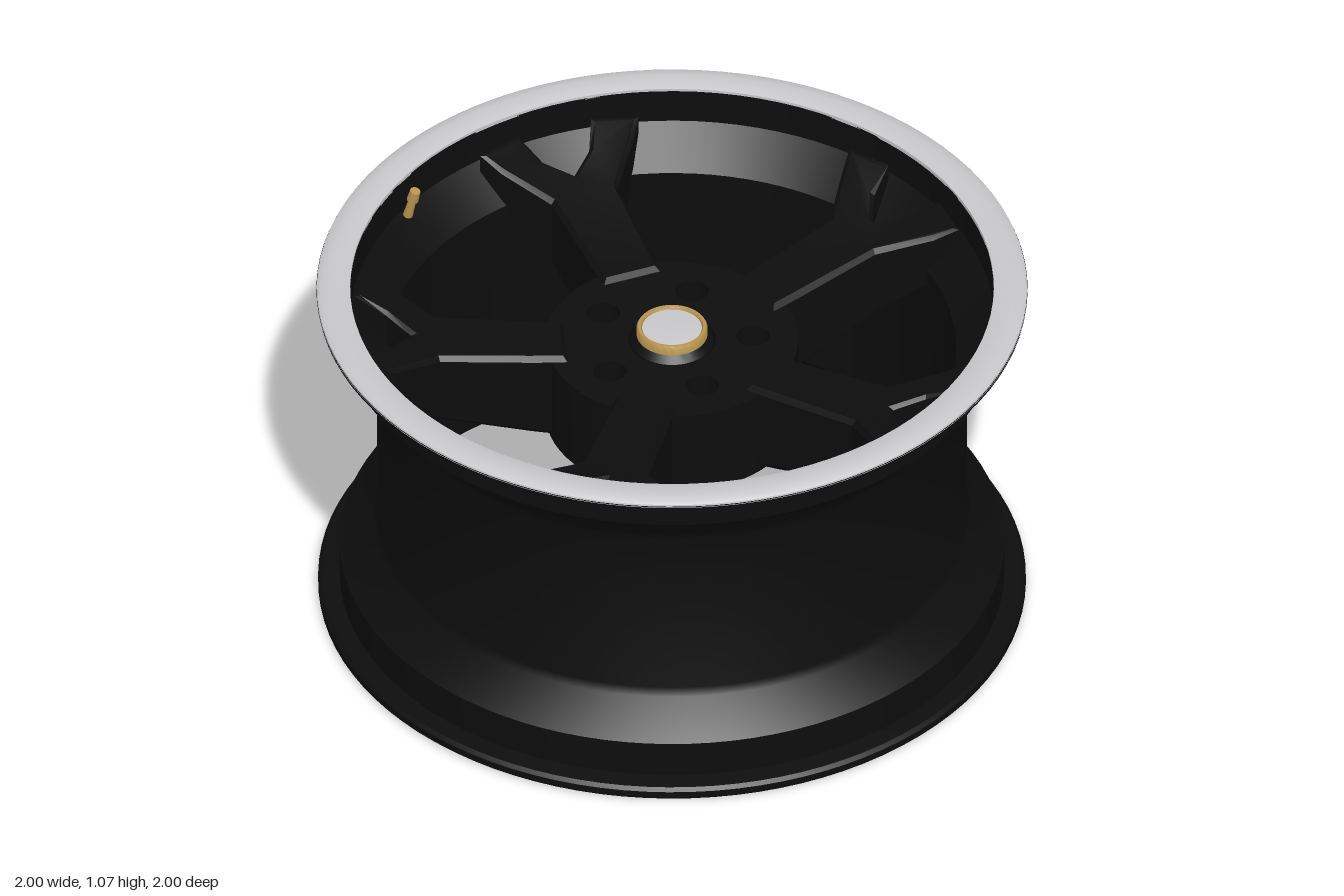
import * as THREE from 'three';
import { toCreasedNormals } from 'three/addons/utils/BufferGeometryUtils.js';

const material = (name, color) => {
  const m = new THREE.MeshStandardMaterial({ color });
  m.name = name;
  return m;
};

export function createModel() {
  const black = material('gloss black', 0x0d0d0d);
  const silver = material('polished silver', 0xc8c8ca);
  const gold = material('gold', 0xb8944e);
  const model = new THREE.Group();
  model.name = 'wheel';

  const add = (name, geometry, mat, parent = model) => {
    const mesh = new THREE.Mesh(geometry, mat);
    mesh.name = name;
    parent.add(mesh);
    return mesh;
  };
  // Revolved part: points run up the outside, then down the inside
  const lathe = (points, segments = 96) => toCreasedNormals(
    new THREE.LatheGeometry(points.map(([r, y]) => new THREE.Vector2(r, y)), segments), 0.6);

  // Barrel: lower flange, bead seats, drop centre and upper flange
  add('barrel', lathe([
    [0.9, 0.005], [0.915, 0], [0.985, 0], [0.995, 0.01], [0.995, 0.03], [0.985, 0.04], [0.935, 0.045],
    [0.935, 0.155], [0.84, 0.25], [0.83, 0.275], [0.83, 0.805], [0.84, 0.83], [0.935, 0.935],
    [0.935, 1.03], [0.99, 1.03], [0.998, 1.036], [1, 1.05], [0.905, 1.05],
    [0.905, 0.945], [0.8, 0.84], [0.8, 0.24], [0.9, 0.14], [0.9, 0.005],
  ]), black);

  // Polished outer lip
  add('lip', lathe([
    [0.905, 1.046], [1, 1.046], [0.998, 1.055], [0.985, 1.063], [0.96, 1.066], [0.925, 1.064],
    [0.905, 1.058], [0.905, 1.046],
  ]), silver);

  // Hub disc with a centre bore and five bolt holes
  const boltRadius = 0.228;
  const boltAngle = i => -Math.PI / 2 + i * Math.PI * 2 / 5;
  const disc = new THREE.Shape().absarc(0, 0, 0.355, 0, Math.PI * 2);
  disc.holes.push(new THREE.Path().absarc(0, 0, 0.123, 0, Math.PI * 2, true));
  for (let i = 0; i < 5; i++) {
    const a = boltAngle(i);
    disc.holes.push(new THREE.Path().absarc(
      boltRadius * Math.cos(a), boltRadius * Math.sin(a), 0.047, 0, Math.PI * 2, true));
  }
  const hubGeometry = new THREE.ExtrudeGeometry(disc, { depth: 0.27, bevelEnabled: false, curveSegments: 32 });
  hubGeometry.rotateX(-Math.PI / 2).translate(0, 0.6, 0);
  add('hub', toCreasedNormals(hubGeometry, 0.6), black);

  // Mounting pad behind the hub
  add('mountingPad', lathe([
    [0.123, 0.5], [0.25, 0.5], [0.29, 0.61], [0.123, 0.61], [0.123, 0.5],
  ], 48), black);

  // Bolts sunk in their holes
  for (let i = 0; i < 5; i++) {
    const a = boltAngle(i);
    const bolt = new THREE.Group();
    bolt.name = 'bolt';
    bolt.position.set(boltRadius * Math.cos(a), 0, -boltRadius * Math.sin(a));
    model.add(bolt);
    const washer = add('boltSeat', new THREE.CylinderGeometry(0.041, 0.041, 0.16, 24), gold, bolt);
    washer.position.y = 0.69;
    const head = add('boltHead', toCreasedNormals(new THREE.CylinderGeometry(0.029, 0.034, 0.03, 6), 0.4), gold, bolt);
    head.position.y = 0.785;
    const tip = add('boltTip', new THREE.CylinderGeometry(0.014, 0.02, 0.01, 16), gold, bolt);
    tip.position.y = 0.805;
  }

  // Centre cap, separated from the bore by a narrow gap
  add('capBody', lathe([[0, 0.55], [0.118, 0.55], [0.118, 0.87], [0.1, 0.89], [0, 0.89]], 64), black);
  add('capRing', lathe([
    [0.084, 0.885], [0.1, 0.885], [0.1, 0.912], [0.096, 0.918], [0.088, 0.918], [0.084, 0.912], [0.084, 0.885],
  ], 64), gold);
  add('capFace', lathe([[0.085, 0.89], [0.085, 0.911], [0.05, 0.914], [0, 0.915]], 64), silver);

  // Forked spoke: flat outline, then heights set by distance from the axle
  const half = [[0.085, 0.3], [0.09, 0.4], [0.1, 0.66], [0.2, 0.79], [0.24, 0.85], [0.11, 0.885], [0.07, 0.8]];
  const outline = [...half, [0, 0.735], ...half.map(([x, y]) => [-x, y]).reverse()];
  const spokeGeometry = new THREE.ExtrudeGeometry(
    new THREE.Shape(outline.map(([x, y]) => new THREE.Vector2(x, y))),
    { depth: 0.88, bevelThickness: 0.06, bevelSize: 0.012, bevelOffset: -0.012, bevelSegments: 1 });
  spokeGeometry.translate(0, 0, 0.06).rotateX(-Math.PI / 2);
  const stations = [[0.3, 0.6, 0.885], [0.65, 0.68, 0.91], [0.8, 0.77, 0.95], [0.9, 0.94, 0.99]];
  const heightAt = (r, column) => {
    const k = r < 0.65 ? 0 : r < 0.8 ? 1 : 2;
    const a = stations[k], b = stations[k + 1];
    return THREE.MathUtils.mapLinear(r, a[0], b[0], a[column], b[column]);
  };
  const p = spokeGeometry.attributes.position;
  for (let i = 0; i < p.count; i++) {
    const r = Math.hypot(p.getX(i), p.getZ(i));
    p.setY(i, THREE.MathUtils.lerp(heightAt(r, 1), heightAt(r, 2), p.getY(i)));
  }
  const spokeFinal = toCreasedNormals(spokeGeometry, 0.35);
  for (let i = 0; i < 5; i++) add('spoke', spokeFinal, black).rotation.y = i * Math.PI * 2 / 5;

  // Tyre valve on the inner slope, leaning towards the axle
  const valve = new THREE.Group();
  valve.name = 'valve';
  valve.position.set(-0.515, 0.95, -0.71);
  valve.rotation.set(0.2, 0, -0.15);
  model.add(valve);
  add('valveStem', new THREE.CylinderGeometry(0.011, 0.014, 0.07, 16), gold, valve).position.y = 0.035;
  add('valveCap', new THREE.CylinderGeometry(0.015, 0.017, 0.035, 16), gold, valve).position.y = 0.08;

  return model;
}
